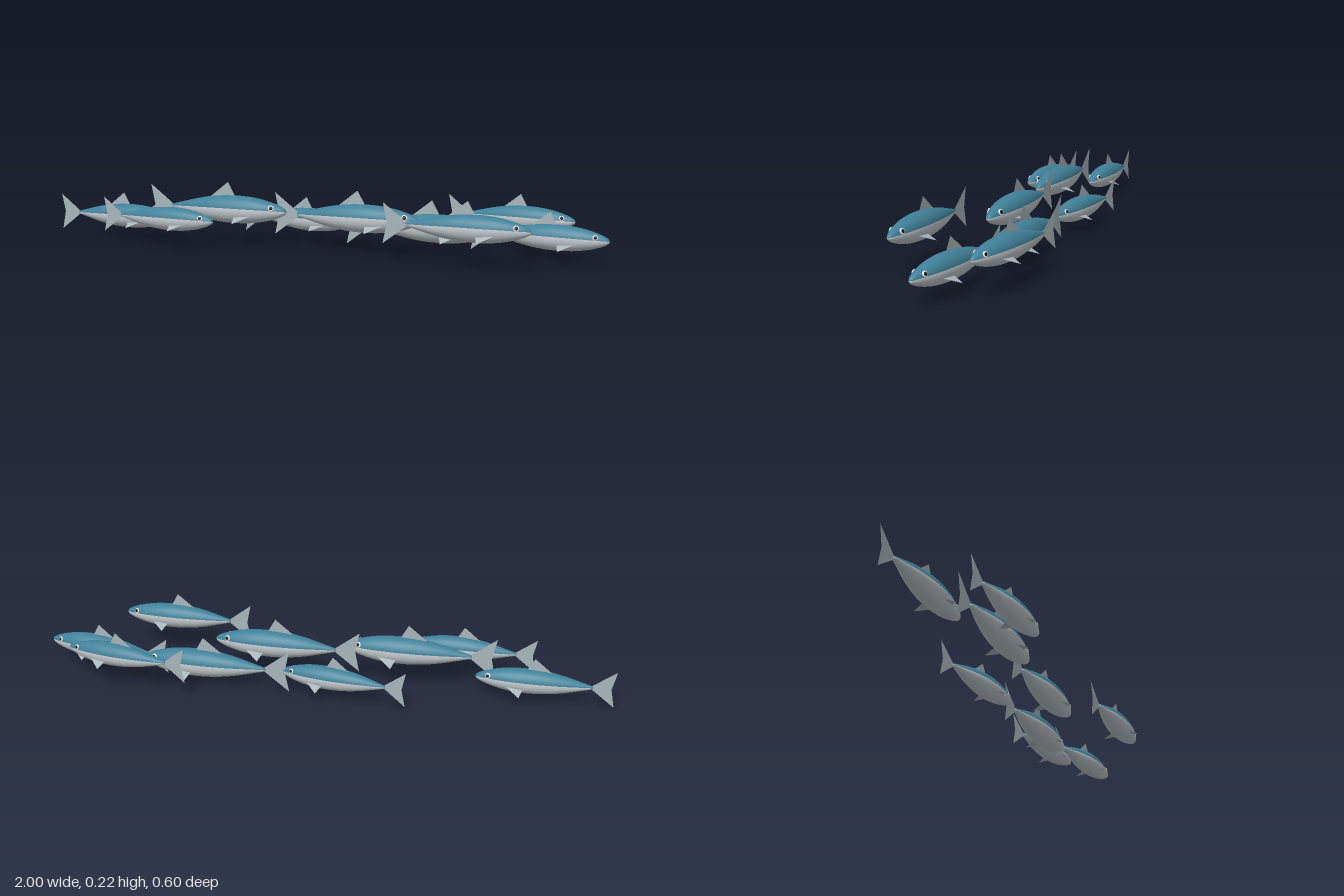
import * as THREE from 'three';

const mat = (name, color, side = THREE.FrontSide) => {
  const m = new THREE.MeshStandardMaterial({ color, side });
  m.name = name;
  return m;
};

export function createModel() {
  const back = mat('tealBack', 0x3f8199);
  const belly = mat('silverBelly', 0xc3cace);
  const fin = mat('greyFin', 0xa9b6bc, THREE.DoubleSide);
  const white = mat('eyeWhite', 0xf2f2f2);
  const black = mat('pupilBlack', 0x121212);

  // Body profile along a fish of unit length: [radius share, position from tail]
  const profile = new THREE.SplineCurve([
    [0.12, 0], [0.36, 0.1], [0.7, 0.25], [0.92, 0.4], [1, 0.55], [0.94, 0.7],
    [0.76, 0.82], [0.5, 0.92], [0.28, 0.975], [0.13, 0.995], [0, 1],
  ].map(([r, t]) => new THREE.Vector2(r * 0.11, t - 0.5)))
    .getPoints(36).map(p => new THREE.Vector2(Math.max(p.x, 0), p.y));
  profile.unshift(new THREE.Vector2(0, -0.5));

  // Part of the body between two angles, nose toward +x
  const shell = (start, length) => new THREE.LatheGeometry(profile, 20, start, length)
    .rotateZ(-Math.PI / 2).scale(1, 1, 0.91);
  const split = 0.17; // colour line, as an angle above the middle
  const backGeo = shell(split - Math.PI, Math.PI - 2 * split);
  const bellyGeo = shell(-split, Math.PI + 2 * split);

  // Flat fins
  const flat = pts => new THREE.ShapeGeometry(
    new THREE.Shape(pts.map(p => new THREE.Vector2(...p))));
  const dorsalGeo = flat([[-0.17, 0.08], [0.07, 0.09], [0, 0.215]]);
  const tailGeo = flat([[-0.47, 0], [-0.69, 0.168], [-0.655, 0], [-0.69, -0.168]]);
  const pectoral = side => {
    const g = new THREE.BufferGeometry();
    g.setAttribute('position', new THREE.Float32BufferAttribute([
      0.24, -0.03, side * 0.075, 0.08, -0.045, side * 0.075, 0.11, -0.088, side * 0.176,
    ], 3));
    g.computeVertexNormals();
    return g;
  };
  const eyeGeo = new THREE.SphereGeometry(0.024, 16, 10).scale(1, 1, 0.4);
  const pupilGeo = new THREE.SphereGeometry(0.015, 14, 8).scale(1, 1, 0.4);

  const add = (parent, name, geo, material) => {
    const m = new THREE.Mesh(geo, material);
    m.name = name;
    parent.add(m);
    return m;
  };

  function makeFish() {
    const fish = new THREE.Group();
    add(fish, 'back', backGeo, back);
    add(fish, 'belly', bellyGeo, belly);
    add(fish, 'dorsalFin', dorsalGeo, fin);
    add(fish, 'tailFin', tailGeo, fin);
    for (const side of [-1, 1]) {
      const label = side > 0 ? 'Left' : 'Right';
      add(fish, 'pectoralFin' + label, pectoral(side), fin);
      // Eye lies on the side of the head, facing outward and a little forward
      const eye = new THREE.Group();
      eye.name = 'eye' + label;
      add(eye, 'eyeWhite', eyeGeo, white);
      add(eye, 'pupil', pupilGeo, black).position.z = 0.006;
      eye.position.set(0.39, 0.032, side * 0.05);
      eye.lookAt(0.39 + 0.35, 0.032 + 0.4, side * 1.05);
      fish.add(eye);
    }
    return fish;
  }

  // The school: [tail x, nose x, y, z, heading]
  const school = [
    [-0.925, -0.53, 0.076, 0.105, 0.08],
    [-0.51, -0.065, 0.13, 0.095, 0.09],
    [-0.645, -0.272, 0.104, 0.232, 0.04],
    [-0.26, 0.113, 0.08, -0.098, -0.03],
    [-0.042, 0.4, 0.12, 0.021, 0.085],
    [0.17, 0.62, 0.079, -0.124, 0.08],
    [0.61, 1.0, 0.083, -0.121, -0.015],
    [0.485, 0.865, 0.12, -0.235, -0.05],
    [0.395, 0.802, 0.133, 0.112, 0.08],
  ];
  const model = new THREE.Group();
  model.name = 'schoolOfFish';
  school.forEach(([x0, x1, y, z, heading], i) => {
    const fish = makeFish();
    fish.name = 'fish' + (i + 1);
    fish.position.set((x0 + x1) / 2, y, z);
    fish.rotation.y = heading;
    fish.scale.setScalar(x1 - x0);
    model.add(fish);
  });
  return model;
}
